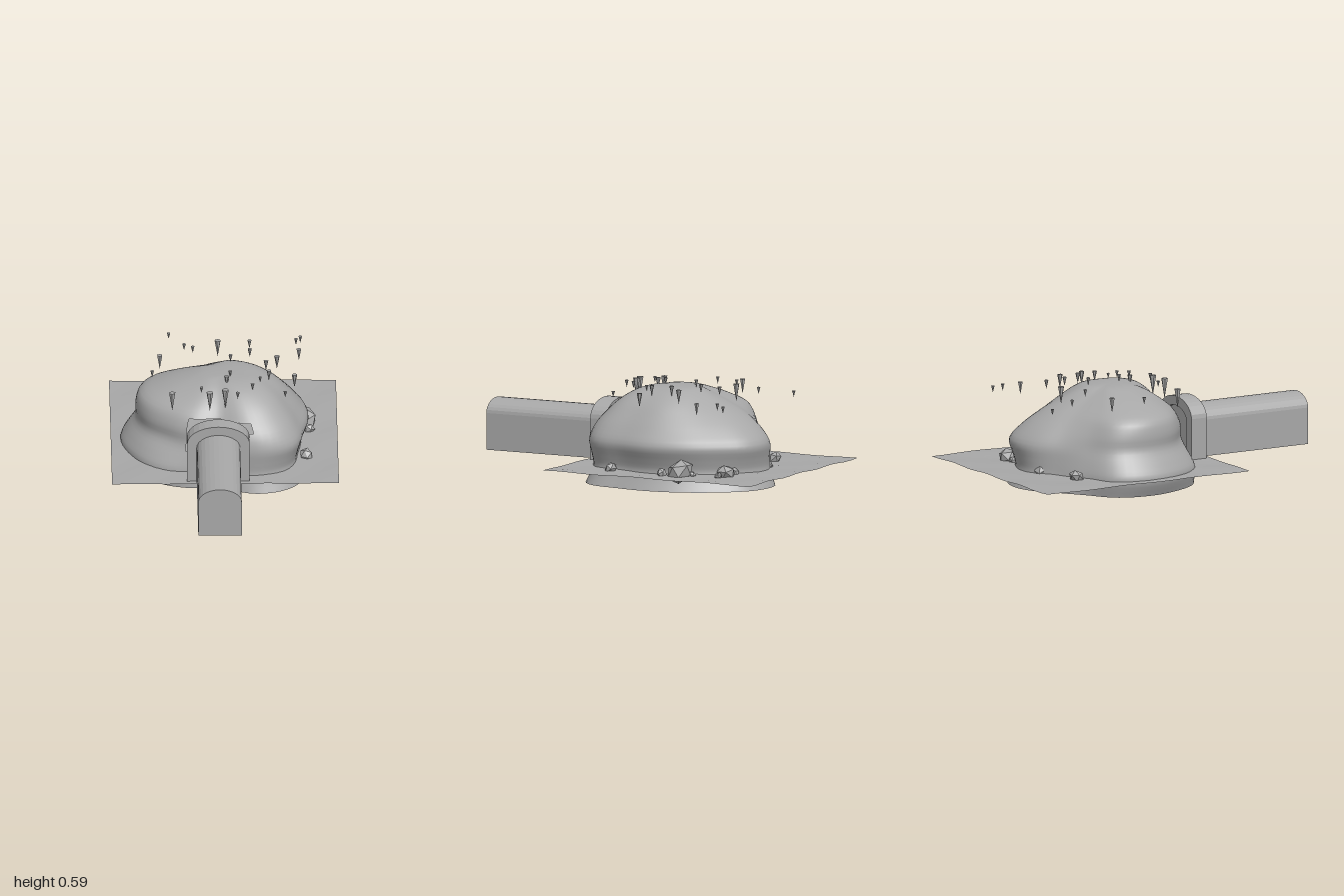
import * as THREE from 'three';

const stone = new THREE.MeshStandardMaterial({ color: 0xa8a8a8, side: THREE.DoubleSide });
stone.name = 'grey stone';
const facetedStone = stone.clone();
facetedStone.name = 'grey stone faceted';
facetedStone.flatShading = true;

function add(parent, name, geometry, material = stone) {
  const mesh = new THREE.Mesh(geometry, material);
  mesh.name = name;
  parent.add(mesh);
  return mesh;
}

// Periodic Catmull-Rom value of a ring of samples, t in 0..1
function ringValue(list, t) {
  const n = list.length, f = t * n, i = Math.floor(f), u = f - i;
  const [a, b, c, d] = [-1, 0, 1, 2].map((k) => list[(i + k + n) % n]);
  return b + 0.5 * u * (c - a + u * (2 * a - 5 * b + 4 * c - d + u * (3 * (b - c) + d - a)));
}

// Lobed dome: two plan outlines (radii from the front, turning to +x) and four side profiles
const BULGE = [0.40, 0.53, 0.58, 0.515, 0.505, 0.50, 0.51, 0.555, 0.515, 0.43, 0.42, 0.47, 0.475, 0.46, 0.43, 0.42];
const GROUND = [0.41, 0.52, 0.55, 0.48, 0.46, 0.46, 0.48, 0.52, 0.51, 0.45, 0.46, 0.545, 0.56, 0.54, 0.52, 0.46];
const BASE_SCALE = [1.05, 1.1, 1.07, 0.93];
// height, then share of the bulge radius at front, right, back, left
const UPPER = [
  [0.33, 0.97, 0.90, 0.88, 1.00],
  [0.41, 0.85, 0.77, 0.67, 0.95],
  [0.47, 0.71, 0.65, 0.45, 0.70],
  [0.52, 0.54, 0.50, 0.25, 0.38],
  [0.545, 0.38, 0.36, 0.12, 0.16],
];

function domeGeometry() {
  const cols = 80, rows = 32, pos = [], index = [];
  for (let c = 0; c < cols; c++) {
    const t = c / cols, a = t * Math.PI * 2;
    const g = ringValue(GROUND, t), b = ringValue(BULGE, t);
    const at = (r, y) => new THREE.Vector3(-0.03 + r * Math.sin(a), y, -0.25 + r * Math.cos(a));
    const path = new THREE.CatmullRomCurve3([
      at(g * ringValue(BASE_SCALE, t), 0),
      at(g, 0.1),
      at(g * 0.6 + b * 0.4, 0.17),
      at(b, 0.25),
      ...UPPER.map(([y, ...s]) => at(b * ringValue(s, t), y)),
      new THREE.Vector3(0.04, 0.553, -0.15),
    ]);
    for (let r = 0; r <= rows; r++) pos.push(...path.getPoint(r / rows).toArray());
  }
  // Faces behind the doorway are left out
  const inDoor = (ids) => {
    const [x, y, z] = [0, 1, 2].map((k) => ids.reduce((s, i) => s + pos[i * 3 + k], 0) / 4);
    return z > 0 && x > -0.21 && x < 0.135 && y > 0.055 && y < 0.4;
  };
  for (let c = 0; c < cols; c++) {
    for (let r = 0; r < rows; r++) {
      const p = c * (rows + 1) + r, q = ((c + 1) % cols) * (rows + 1) + r;
      if (inDoor([p, q, p + 1, q + 1])) continue;
      index.push(p, q, q + 1);
      if (r < rows - 1) index.push(p, q + 1, p + 1);
    }
  }
  const geo = new THREE.BufferGeometry();
  geo.setAttribute('position', new THREE.Float32BufferAttribute(pos, 3));
  geo.setIndex(index);
  geo.computeVertexNormals();
  return geo;
}

// Upright with a low elliptical arch on top
function archPath(Type, half, spring, rise) {
  const path = new Type();
  path.moveTo(-half, 0.1);
  path.lineTo(half, 0.1);
  path.lineTo(half, spring);
  path.absellipse(0, spring, half, rise, 0, Math.PI, false);
  path.lineTo(-half, 0.1);
  return path;
}

function extrude(shape, z0, z1) {
  const geo = new THREE.ExtrudeGeometry(shape, { depth: z1 - z0, bevelEnabled: false, curveSegments: 7 });
  return geo.translate(-0.042, 0, z0);
}

export function createModel() {
  const model = new THREE.Group();
  model.name = 'caveWithTunnel';

  // Slightly uneven ground sheet
  const ground = new THREE.PlaneGeometry(1.285, 1.33, 16, 16).rotateX(-Math.PI / 2).translate(-0.002, 0.098, -0.335);
  const gp = ground.attributes.position;
  for (let i = 0; i < gp.count; i++) {
    gp.setY(i, gp.getY(i) + 0.004 * Math.sin(gp.getX(i) * 17 + 1) * Math.cos(gp.getZ(i) * 13));
  }
  ground.computeVertexNormals();
  add(model, 'ground', ground);

  add(model, 'caveDome', domeGeometry());

  // Tunnel and the stone surround at its mouth
  add(model, 'tunnel', extrude(archPath(THREE.Shape, 0.123, 0.31, 0.078), 0.22, 1.0));
  const surround = archPath(THREE.Shape, 0.177, 0.335, 0.105);
  surround.holes.push(archPath(THREE.Path, 0.122, 0.309, 0.077));
  add(model, 'doorSurround', extrude(surround, 0.2, 0.3), facetedStone);

  // Boulders around the foot: x, z, radius
  const boulders = new THREE.Group();
  boulders.name = 'boulders';
  model.add(boulders);
  [
    [0.33, -0.68, 0.062], [0.45, -0.45, 0.085], [-0.34, -0.63, 0.047], [0.46, -0.01, 0.042],
    [0.48, -0.35, 0.035], [-0.09, -0.72, 0.042], [0.43, -0.52, 0.025], [0.25, -0.69, 0.035],
    [0.40, -0.67, 0.025],
  ].forEach(([x, z, r], i) => {
    const rock = add(boulders, 'boulder', new THREE.IcosahedronGeometry(r, 0), facetedStone);
    rock.position.set(x, 0.1 + r * 0.25, z);
    rock.scale.set(1, 0.75, 0.92);
    rock.rotation.set(i * 0.4, i * 1.7, 0.2);
  });

  // Hanging spikes: x, z, top, length
  const spikes = new THREE.Group();
  spikes.name = 'stalactites';
  model.add(spikes);
  [
    [-0.365, -0.41, 0.547, 0.085], [-0.41, -0.225, 0.54, 0.04], [-0.30, 0.06, 0.54, 0.11],
    [-0.177, -0.475, 0.57, 0.04], [-0.035, -0.55, 0.57, 0.1], [0.035, -0.33, 0.587, 0.045],
    [0.145, -0.54, 0.575, 0.05], [0.145, -0.42, 0.58, 0.05], [0.298, -0.36, 0.563, 0.08],
    [0.235, -0.28, 0.573, 0.06], [0.395, -0.16, 0.543, 0.08], [0.25, -0.16, 0.57, 0.06],
    [0.03, -0.13, 0.585, 0.04], [0.01, -0.07, 0.58, 0.07], [0.155, 0.01, 0.57, 0.04],
    [0.34, 0.04, 0.535, 0.035], [0, 0.075, 0.565, 0.115], [0.07, 0.1, 0.56, 0.04],
    [-0.088, 0.1, 0.56, 0.115], [-0.135, 0.03, 0.56, 0.035], [-0.225, -0.59, 0.53, 0.04],
    [-0.31, -0.77, 0.51, 0.035], [0.435, -0.72, 0.51, 0.04], [0.425, -0.545, 0.515, 0.07],
    [0.41, -0.67, 0.52, 0.04], [0.2, -0.1, 0.56, 0.03],
  ].forEach(([x, z, top, length], i) => {
    const cone = new THREE.ConeGeometry(0.006 + length * 0.12, length, 6).rotateX(Math.PI);
    const spike = add(spikes, 'stalactite', cone, facetedStone);
    spike.position.set(x, top - length / 2, z);
    spike.rotation.y = i;
  });

  return model;
}
